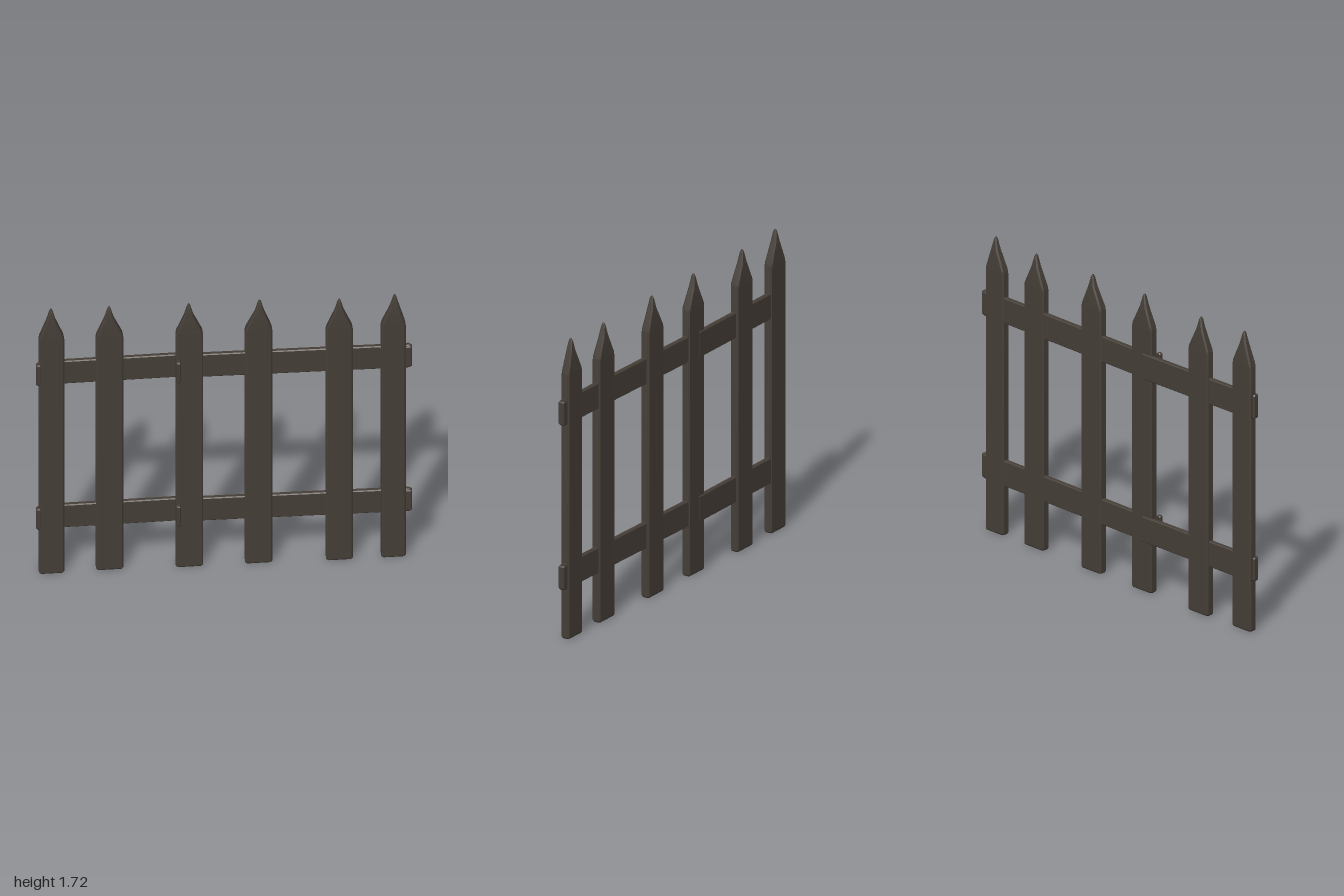
import * as THREE from 'three';
import { mergeVertices, toCreasedNormals } from 'three/addons/utils/BufferGeometryUtils.js';

const wood = new THREE.MeshStandardMaterial({ color: 0x453e37 });
wood.name = 'dark wood';

// Lofts chamfered rectangles up the y axis; each ring is [y, halfWidth, halfDepth, centreX, centreZ].
function loft(rings, chamfer) {
  const pos = [], idx = [], n = 8;
  for (const [y, w, d, cx = 0, cz = 0] of rings) {
    const c = Math.min(chamfer, w * 0.5, d * 0.5);
    const corners = [
      [w, d - c], [w - c, d], [c - w, d], [-w, d - c],
      [-w, c - d], [c - w, -d], [w - c, -d], [w, c - d],
    ];
    for (const [x, z] of corners) pos.push(cx + x, y, cz + z);
  }
  const last = (rings.length - 1) * n;
  for (let r = 0; r < last; r += n) {
    for (let i = 0; i < n; i++) {
      const j = (i + 1) % n;
      idx.push(r + i, r + n + j, r + j, r + i, r + n + i, r + n + j);
    }
  }
  for (let i = 1; i < n - 1; i++) {
    idx.push(0, i, i + 1, last, last + i + 1, last + i);
  }
  // The ring runs from +x to +z to -x, so flip every face to look outward.
  const g = new THREE.BufferGeometry();
  g.setAttribute('position', new THREE.Float32BufferAttribute(pos, 3));
  g.setIndex(idx);
  orientOutward(g);
  return toCreasedNormals(mergeVertices(g), 0.35);
}

// Reverses the winding if the enclosed volume comes out negative.
function orientOutward(g) {
  const p = g.attributes.position, ix = g.index.array;
  const a = new THREE.Vector3(), b = new THREE.Vector3(), c = new THREE.Vector3();
  let volume = 0;
  for (let i = 0; i < ix.length; i += 3) {
    a.fromBufferAttribute(p, ix[i]);
    b.fromBufferAttribute(p, ix[i + 1]);
    c.fromBufferAttribute(p, ix[i + 2]);
    volume += a.dot(b.cross(c));
  }
  if (volume < 0) {
    for (let i = 0; i < ix.length; i += 3) [ix[i + 1], ix[i + 2]] = [ix[i + 2], ix[i + 1]];
  }
}

export function createModel() {
  const fence = new THREE.Group();
  fence.name = 'picketFence';
  const add = (name, geometry) => {
    const mesh = new THREE.Mesh(geometry, wood);
    mesh.name = name;
    fence.add(mesh);
    return mesh;
  };

  // Pickets: [left edge, right edge, tip x, tip height, centre z]
  const pickets = [
    [-0.985, -0.85, -0.92, 1.72, -0.022],
    [-0.68, -0.535, -0.61, 1.71, -0.027],
    [-0.257, -0.112, -0.187, 1.71, -0.013],
    [0.112, 0.257, 0.19, 1.71, -0.011],
    [0.542, 0.685, 0.613, 1.695, 0.002],
    [0.835, 0.966, 0.908, 1.705, 0.004],
  ];
  for (const [x0, x1, tipX, top, z] of pickets) {
    const x = (x0 + x1) / 2, w = (x1 - x0) / 2, d = 0.025;
    const shoulder = top - 0.175;
    add('picket', loft([
      [0, w - 0.004, d - 0.004, x, z],
      [0.008, w, d, x, z],
      [shoulder - 0.02, w, d, x, z],
      [shoulder, w - 0.004, d, x, z],
      [top - 0.07, 0.024, d * 0.75, tipX, z],
      [top - 0.015, 0.009, d * 0.45, tipX, z],
      [top, 0.003, d * 0.2, tipX, z],
    ], 0.008));
  }

  // Two rows of rails, each made of two boards that meet at the third picket
  for (const [row, y] of [['lower', 0.36], ['upper', 1.303]]) {
    const board = (name, x0, z0, x1, z1) => {
      const g = loft([[x0, 0.074, 0.014, 0, z0], [x1, 0.074, 0.014, 0, z1]], 0.005);
      g.rotateZ(-Math.PI / 2);
      add(row + name, g).position.y = y;
    };
    board('RightRail', -0.985, -0.027, -0.2, -0.03);
    board('LeftRail', -0.25, -0.02, 0.985, 0.003);

    // Upright cleats closing the rail ends and the joint
    const cleat = (name, x, z, w, d) => {
      const h = 0.068;
      add(row + name, loft([
        [y - h, w - 0.005, d - 0.005, x, z],
        [y - h + 0.007, w, d, x, z],
        [y + h - 0.007, w, d, x, z],
        [y + h, w - 0.005, d - 0.005, x, z],
      ], 0.006));
    };
    cleat('RightEnd', -0.986, -0.013, 0.014, 0.018);
    cleat('LeftEnd', 0.98, 0.004, 0.02, 0.018);
    cleat('JointNeck', -0.243, 0.012, 0.009, 0.03);
    cleat('JointHead', -0.246, 0.04, 0.013, 0.013);
  }
  return fence;
}
